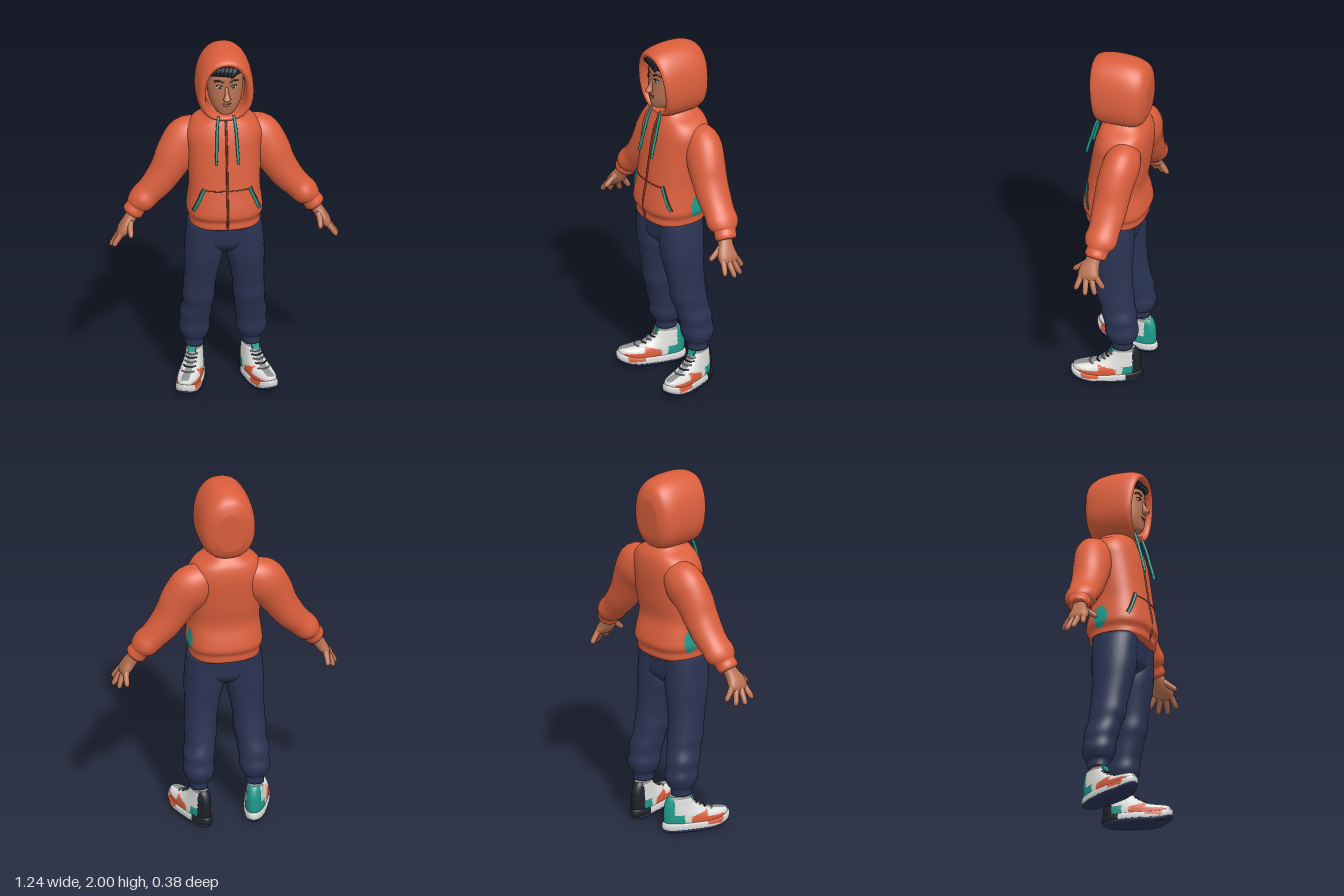
import * as THREE from 'three';

const paint = (name, color) => {
  const m = new THREE.MeshStandardMaterial({ color });
  m.name = name;
  return m;
};
const V = (x, y, z) => new THREE.Vector3(x, y, z);
const curve = (a, b, c, d, t) => 0.5 * (2 * b + (c - a) * t + (2 * a - 5 * b + 4 * c - d) * t * t + (3 * b - a - 3 * c + d) * t * t * t);

// Closed skin through oval sections [x, y, z, radiusU, radiusV].
// axis fixes the section plane; pick(centroid) chooses a material; warp moves points.
function loft(name, mat, secs, { seg = 32, steps = 4, axis, exp = 2, pick, warp } = {}) {
  const rows = [], pos = [], n = secs.length - 1;
  for (let k = 0; k <= n * steps; k++) {
    const i = Math.min(Math.floor(k / steps), n - 1), t = k / steps - i;
    const s = (j) => secs[Math.min(Math.max(j, 0), n)];
    rows.push(secs[0].map((_, c) => curve(s(i - 1)[c], s(i)[c], s(i + 1)[c], s(i + 2)[c], t)));
  }
  const put = (p) => { if (warp) warp(p); pos.push(p.x, p.y, p.z); };
  const centre = (r) => V(r[0], r[1], r[2]);
  const bend = (w) => Math.sign(w) * Math.abs(w) ** (2 / exp);
  rows.forEach((r, k) => {
    const T = axis ? axis.clone() : centre(rows[Math.min(k + 1, rows.length - 1)]).sub(centre(rows[Math.max(k - 1, 0)])).normalize();
    const v = Math.abs(T.z) > 0.9 ? V(0, 1, 0) : V(0, 0, 1);
    v.addScaledVector(T, -v.dot(T)).normalize();
    const u = T.clone().cross(v);
    for (let j = 0; j < seg; j++) {
      const a = (j / seg) * Math.PI * 2;
      put(centre(r).addScaledVector(u, r[3] * bend(Math.cos(a))).addScaledVector(v, r[4] * bend(Math.sin(a))));
    }
  });
  const last = rows.length - 1, c0 = rows.length * seg;
  put(centre(rows[0]));
  put(centre(rows[last]));
  const tris = [];
  for (let j = 0; j < seg; j++) {
    const j2 = (j + 1) % seg;
    for (let k = 0; k < last; k++) {
      const a = k * seg + j, b = k * seg + j2;
      tris.push([a, a + seg, b], [b, a + seg, b + seg]);
    }
    tris.push([c0, j, j2], [c0 + 1, last * seg + j2, last * seg + j]);
  }
  const geo = new THREE.BufferGeometry();
  geo.setAttribute('position', new THREE.Float32BufferAttribute(pos, 3));
  if (pick) {
    const bins = mat.map(() => []);
    for (const t of tris) {
      const m = [0, 1, 2].map((c) => (pos[t[0] * 3 + c] + pos[t[1] * 3 + c] + pos[t[2] * 3 + c]) / 3);
      bins[pick(V(...m))].push(...t);
    }
    let start = 0;
    bins.forEach((b, i) => { geo.addGroup(start, b.length, i); start += b.length; });
    geo.setIndex(bins.flat());
  } else geo.setIndex(tris.flat());
  geo.computeVertexNormals();
  return named(name, new THREE.Mesh(geo, mat));
}
function named(name, o) { o.name = name; return o; }
function tube(name, mat, pts, r) {
  return named(name, new THREE.Mesh(new THREE.TubeGeometry(new THREE.CatmullRomCurve3(pts), 24, r, 8), mat));
}
function blob(name, mat, p, s) {
  const m = named(name, new THREE.Mesh(new THREE.SphereGeometry(1, 20, 14), mat));
  m.position.copy(p);
  m.scale.set(...s);
  return m;
}
// Point on the front of an upright skin at x, y
function front(secs, exp, x, y, out = 0) {
  let i = 0;
  while (i < secs.length - 2 && secs[i + 1][1] < y) i++;
  const t = (y - secs[i][1]) / (secs[i + 1][1] - secs[i][1]);
  const [, , z, rx, rz] = secs[i].map((a, c) => a + (secs[i + 1][c] - a) * t);
  return V(x, y, z + rz * Math.max(0, 1 - Math.abs(x / rx) ** exp) ** (1 / exp) + out);
}
// Section from front and back depth
const ring = (y, f, b, rx) => [0, y, (f + b) / 2, rx, (f - b) / 2];
const UP = V(0, 1, 0), DOWN = V(0, -1, 0);

const TORSO = [ring(0.975, 0.14, -0.145, 0.175), ring(0.99, 0.16, -0.165, 0.19), ring(1.025, 0.16, -0.168, 0.192),
  ring(1.06, 0.176, -0.183, 0.205), ring(1.11, 0.172, -0.175, 0.202), ring(1.2, 0.155, -0.155, 0.192), ring(1.3, 0.14, -0.17, 0.195),
  ring(1.42, 0.122, -0.185, 0.2), ring(1.5, 0.105, -0.187, 0.203), ring(1.56, 0.085, -0.176, 0.172), ring(1.6, 0.068, -0.15, 0.11), ring(1.63, 0.05, -0.12, 0.08)];
const HEAD = [[0, 1.56, -0.03, 0.055, 0.055], [0, 1.635, -0.01, 0.055, 0.06], [0, 1.652, 0.04, 0.045, 0.065], [0, 1.67, 0.038, 0.06, 0.077],
  [0, 1.7, 0.03, 0.078, 0.09], [0, 1.74, 0.025, 0.09, 0.097], [0, 1.79, 0.02, 0.097, 0.1], [0, 1.83, 0.015, 0.1, 0.102],
  [0, 1.88, 0.01, 0.098, 0.105], [0, 1.92, 0, 0.085, 0.09], [0, 1.945, 0, 0.05, 0.05]];
const SHOE = [ring(0.04, 0.266, -0.1, 0.057), ring(0.075, 0.258, -0.102, 0.058), ring(0.097, 0.22, -0.102, 0.055), ring(0.12, 0.145, -0.101, 0.05),
  ring(0.15, 0.09, -0.098, 0.045), ring(0.185, 0.056, -0.086, 0.041), ring(0.205, 0.048, -0.07, 0.034)];

export function createModel() {
  const orange = paint('hoodie orange', 0xdb5f3d), seam = paint('seam brown', 0x7d3524), teal = paint('teal', 0x1f9a8b),
    navy = paint('navy', 0x2a3454), skin = paint('skin', 0xb87152), dark = paint('charcoal', 0x1e222a),
    white = paint('off white', 0xdcdcda), grey = paint('grey', 0x8f9092);
  const model = named('hoodedFigure', new THREE.Group());
  const add = (...o) => model.add(...o);

  // Hoodie body, with a teal patch low on each side
  add(loft('hoodieBody', [orange, teal], TORSO, { axis: UP, exp: 2.5, seg: 96, steps: 8,
    pick: (p) => (Math.abs(p.x) > 0.15 && ((p.y - 1.09) / 0.065) ** 2 + ((p.z + 0.045) / 0.04) ** 2 < 1 ? 1 : 0) }));
  const onChest = (x, y, out = 0) => front(TORSO, 2.5, x, y, out);
  add(tube('zipper', seam, [0.985, 1.05, 1.12, 1.2, 1.3, 1.42, 1.5, 1.56, 1.6].map((y) => onChest(0, y)), 0.006));
  add(tube('pocketSeam', seam, [-0.12, -0.08, -0.04, 0, 0.04, 0.08, 0.12].map((x) => onChest(x, 1.215)), 0.003));

  // Hood: inside wall, rolled rim, outer shell
  add(loft('hood', orange, [[0, 1.785, 0, 0.105, 0.15], [0, 1.785, 0.09, 0.11, 0.155], [0, 1.787, 0.113, 0.125, 0.17], [0, 1.79, 0.1, 0.144, 0.188],
    [0, 1.797, 0.05, 0.153, 0.2], [0, 1.8, -0.04, 0.155, 0.202], [0, 1.795, -0.11, 0.148, 0.195], [0, 1.787, -0.16, 0.125, 0.17], [0, 1.78, -0.186, 0.075, 0.11]],
  { axis: V(0, 0, -1), exp: 2.3, seg: 48, warp: (p) => {
    p.z += (p.y - 1.79) * (p.z + 0.08) * 0.6;
    p.x *= 1 - (p.y - 1.8) * 0.5;
  } }));

  // Head and face
  add(loft('head', skin, HEAD, { axis: UP, exp: 2.2, seg: 40 }));
  const onFace = (x, y, out = 0) => front(HEAD, 2.2, x, y, out);
  add(loft('nose', skin, [[0, 1.82, 0.113, 0.008, 0.008], [0, 1.78, 0.127, 0.012, 0.014], [0, 1.757, 0.137, 0.02, 0.021], [0, 1.744, 0.128, 0.014, 0.015]], { axis: DOWN, seg: 16 }));
  add(tube('mouth', seam, [-0.026, 0, 0.026].map((x) => onFace(x, 1.722 + Math.abs(x) * 0.12)), 0.003));
  add(blob('lowerLip', skin, onFace(0, 1.712, -0.002), [0.018, 0.006, 0.007]));
  for (const s of [-1, 1]) {
    add(blob('eye', white, onFace(s * 0.038, 1.82, -0.002), [0.017, 0.009, 0.006]));
    add(blob('iris', dark, onFace(s * 0.037, 1.82, 0.003), [0.007, 0.008, 0.003]));
    add(tube('eyelid', dark, [0.02, 0.038, 0.056].map((x, i) => onFace(s * x, 1.826 + (i === 1 ? 0.005 : 0), 0.002)), 0.0025));
    add(tube('eyebrow', dark, [0.016, 0.04, 0.064].map((x, i) => onFace(s * x, [1.848, 1.858, 1.85][i])), 0.005));
  }

  // Hair and swept fringe
  add(loft('hair', dark, [[0, 1.885, 0.01, 0.101, 0.108], [0, 1.91, 0.006, 0.095, 0.104], [0, 1.932, 0.004, 0.08, 0.09], [0, 1.945, 0, 0.05, 0.05]], { axis: UP }));
  for (let i = 0; i < 6; i++) {
    const x = 0.05 - i * 0.022;
    add(loft('fringeLock', dark, [[x + 0.02, 1.928, 0.075, 0.012, 0.01], [x, 1.918, 0.108, 0.017, 0.012],
      [x - 0.015, 1.895, 0.122 - i * 0.004, 0.014, 0.009], [x - 0.024, 1.872, 0.114 - i * 0.009, 0.003, 0.003]], { seg: 10 }));
  }

  for (const s of [-1, 1]) {
    const side = (list) => list.map(([x, ...r]) => [s * x, ...r]);

    // Drawstring and pocket trim
    add(tube('drawstring', teal, [V(s * 0.042, 1.635, 0.085), V(s * 0.05, 1.57, 0.108), V(s * 0.055, 1.48, 0.132), V(s * 0.059, 1.4, 0.153)], 0.008));
    add(loft('drawstringTip', teal, side([[0.059, 1.4, 0.153, 0.01, 0.01], [0.06, 1.375, 0.158, 0.006, 0.006]]), { seg: 12 }));
    const trim = [0, 0.25, 0.5, 0.75, 1].map((t) => onChest(s * (0.12 + 0.055 * t), 1.225 - 0.135 * t));
    add(tube('pocketTrim', teal, trim, 0.009));
    add(tube('pocketEdge', seam, trim.map((p) => p.clone().add(V(s * 0.01, 0.002, -0.004))), 0.004));

    // Sleeve with gathered cuff
    add(loft('sleeve', orange, side([[0.11, 1.48, -0.085, 0.085, 0.08], [0.185, 1.44, -0.085, 0.122, 0.1], [0.25, 1.36, -0.07, 0.112, 0.1], [0.3, 1.27, -0.062, 0.094, 0.096],
      [0.35, 1.195, -0.058, 0.084, 0.092], [0.4, 1.14, -0.054, 0.074, 0.086], [0.44, 1.1, -0.048, 0.072, 0.09], [0.462, 1.075, -0.044, 0.064, 0.078],
      [0.472, 1.06, -0.042, 0.055, 0.062], [0.492, 1.032, -0.036, 0.056, 0.06], [0.5, 1.02, -0.034, 0.045, 0.05]])));

    // Hand
    const hand = named('hand', new THREE.Group());
    hand.add(loft('palm', skin, side([[0.475, 1.055, -0.035, 0.03, 0.038], [0.505, 1.005, -0.025, 0.03, 0.04], [0.53, 0.965, -0.015, 0.031, 0.053],
      [0.553, 0.932, -0.014, 0.026, 0.058], [0.565, 0.912, -0.016, 0.014, 0.045]]), { seg: 24, exp: 2.4 }));
    const fingers = [['indexFinger', 0.553, 0.935, 0.022, 0.604, 0.865, 0.042], ['middleFinger', 0.558, 0.928, -0.005, 0.614, 0.845, -0.016],
      ['ringFinger', 0.555, 0.928, -0.033, 0.592, 0.845, -0.066], ['littleFinger', 0.548, 0.94, -0.053, 0.552, 0.868, -0.102], ['thumb', 0.508, 0.99, 0.008, 0.512, 0.93, 0.082]];
    for (const [name, x, y, z, X, Y, Z] of fingers) {
      hand.add(loft(name, skin, side([0, 0.3, 0.6, 0.88, 1].map((t, i) =>
        [x + (X - x) * t + 0.012 * t * (1 - t), y + (Y - y) * t, z + (Z - z) * t, ...Array(2).fill([0.018, 0.0165, 0.0155, 0.013, 0.005][i])])), { seg: 14 }));
    }
    add(hand);

    // Trouser leg with knee folds and a ribbed ankle
    add(loft('trouserLeg', navy, side([[0.1, 0.99, 0, 0.1, 0.128], [0.108, 0.9, 0, 0.103, 0.124], [0.112, 0.8, -0.002, 0.105, 0.12], [0.122, 0.7, -0.01, 0.094, 0.108],
      [0.132, 0.6, -0.022, 0.086, 0.1], [0.135, 0.53, -0.03, 0.088, 0.1], [0.14, 0.47, -0.045, 0.082, 0.094], [0.15, 0.41, -0.06, 0.085, 0.093], [0.152, 0.36, -0.068, 0.08, 0.088],
      [0.154, 0.31, -0.074, 0.083, 0.09], [0.154, 0.265, -0.076, 0.068, 0.074], [0.154, 0.248, -0.076, 0.052, 0.06], [0.154, 0.21, -0.076, 0.05, 0.056]]), { axis: DOWN, exp: 2.2 }));
    add(loft('ankle', skin, side([[0.154, 0.25, -0.076, 0.036, 0.042], [0.155, 0.14, -0.074, 0.036, 0.042]]), { axis: DOWN, seg: 20 }));

    // Trainer, toes turned out
    const shoe = named('shoe', new THREE.Group());
    const warp = (p) => {
      p.x *= 1 + 0.6 * p.z;
      p.y += 1.8 * Math.max(0, p.z - 0.14) ** 2 + 1.5 * Math.max(0, -p.z - 0.06) ** 2;
      return p;
    };
    const heel = s > 0 ? dark : teal;
    const opts = { axis: UP, exp: 2.3, seg: 64, warp };
    shoe.add(loft('outsole', navy, [ring(0, 0.255, -0.095, 0.05), ring(0.008, 0.27, -0.106, 0.06), ring(0.02, 0.272, -0.108, 0.062)], opts));
    shoe.add(loft('midsole', [white, s > 0 ? dark : white, orange], [ring(0.016, 0.272, -0.108, 0.061), ring(0.03, 0.275, -0.112, 0.064), ring(0.05, 0.272, -0.108, 0.062), ring(0.056, 0.26, -0.1, 0.054)],
      { ...opts, pick: (p) => (p.z < -0.02 ? 1 : p.z > 0.13 && p.z < 0.22 && p.y > 0.035 ? 2 : 0) }));
    shoe.add(loft('upper', [white, orange, teal, heel, grey], SHOE, { ...opts, steps: 6, pick: (p) => {
      if (p.z < -0.055) return 3;
      if (p.z < 0 && p.y < 0.1) return 2;
      if (p.z > 0.04 && p.z < 0.13 && p.y < 0.1 + (p.z - 0.08) * 0.3) return 1;
      if (p.z > 0.13 && p.z < 0.24 && p.y < 0.08) return 1;
      return p.y > 0.19 || (p.y > 0.1 && Math.abs(p.x) < 0.02) ? 4 : 0;
    } }));
    for (let i = 0; i < 5; i++) {
      const y = 0.112 + i * 0.015;
      shoe.add(tube('lace', i % 2 ? dark : grey, [-0.03, -0.015, 0, 0.015, 0.03].map((x) => warp(front(SHOE, 2.3, x, y, 0.002))), 0.004));
    }
    const tongue = named('tongue', new THREE.Mesh(new THREE.BoxGeometry(0.042, 0.045, 0.012), teal));
    tongue.position.set(0, 0.2, 0.05);
    tongue.rotation.x = -0.3;
    shoe.add(tongue);
    shoe.position.set(s * 0.155, 0, -0.075);
    shoe.rotation.y = s * 0.32;
    add(shoe);
  }

  // Seat of the trousers
  add(loft('trouserSeat', navy, [[0, 1, 0, 0.185, 0.128], [0, 0.93, 0, 0.195, 0.122], [0, 0.86, -0.002, 0.16, 0.112], [0, 0.81, -0.004, 0.06, 0.06]], { axis: DOWN, exp: 2.4 }));
  return model;
}
